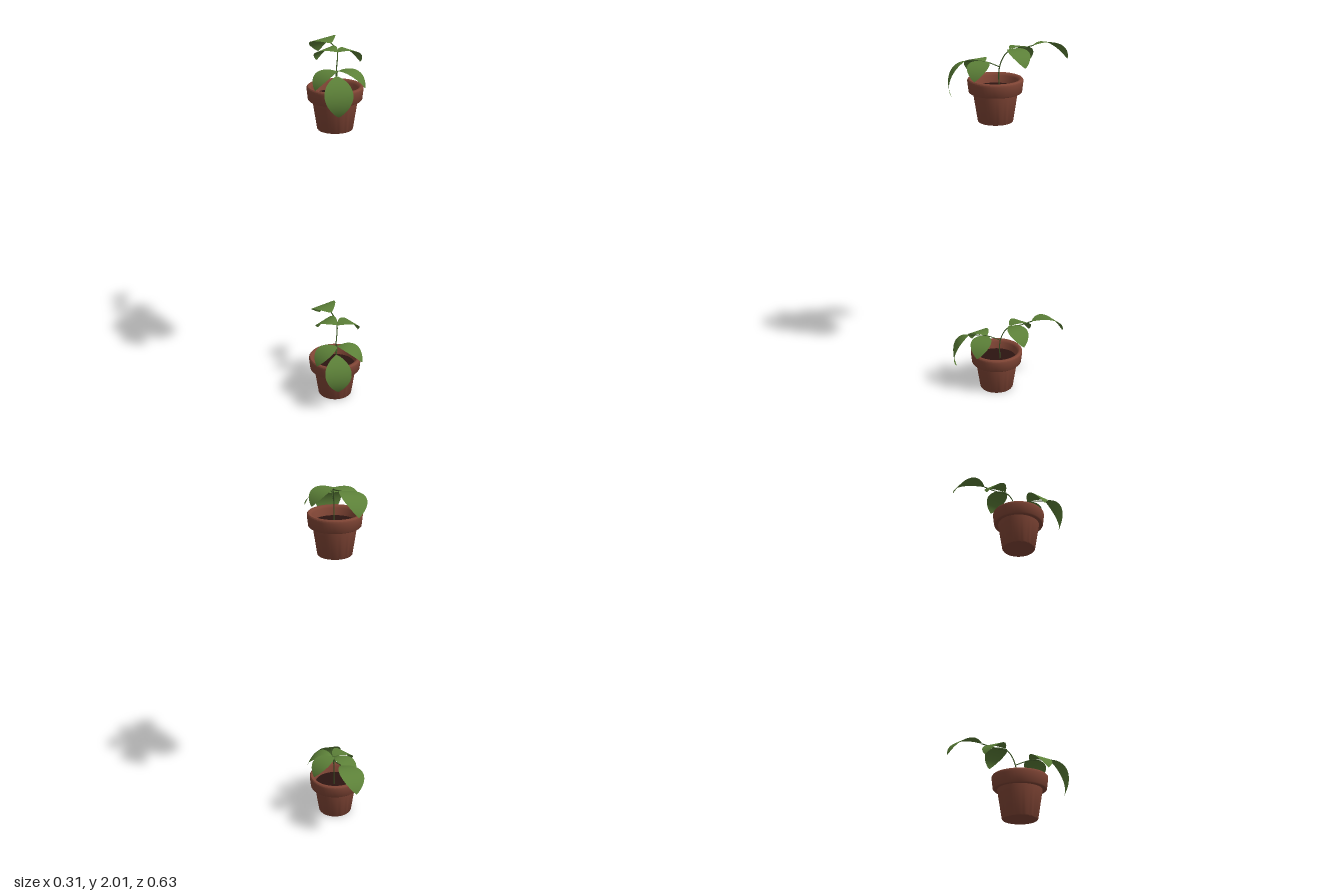
import * as THREE from 'three';
import { toCreasedNormals } from 'three/addons/utils/BufferGeometryUtils.js';

const potMat = new THREE.MeshStandardMaterial({ color: 0x804535, side: THREE.DoubleSide });
const soilMat = new THREE.MeshStandardMaterial({ color: 0x2c1411 });
const stemMat = new THREE.MeshStandardMaterial({ color: 0x3f5a28 });
const leafMat = new THREE.MeshStandardMaterial({ color: 0x5c8038, side: THREE.DoubleSide });

const LEAF_LENGTH = 0.237, LEAF_WIDTH = 0.146, LEAF_BEND = 1.745;

function add(parent, name, geometry, material) {
  const mesh = new THREE.Mesh(geometry, material);
  mesh.name = name;
  parent.add(mesh);
  return mesh;
}

// Ovate blade growing along +z and bending down along a circular arc
function leafGeometry() {
  const geo = new THREE.PlaneGeometry(1, 1, 8, 24);
  const p = geo.attributes.position;
  const R = LEAF_LENGTH / LEAF_BEND;
  for (let i = 0; i < p.count; i++) {
    const t = p.getY(i) + 0.5;
    const a = t * LEAF_BEND;
    const w = LEAF_WIDTH * Math.pow(Math.max(0, Math.sin(Math.PI * t)), 0.85);
    p.setXYZ(i, -p.getX(i) * w, -R * (1 - Math.cos(a)), R * Math.sin(a));
  }
  geo.computeVertexNormals();
  return geo;
}

function stem(parent, name, radius, points) {
  const curve = new THREE.CatmullRomCurve3(points.map((q) => new THREE.Vector3(...q)));
  add(parent, name, new THREE.TubeGeometry(curve, 24, radius, 8), stemMat);
}

function createPlant() {
  const plant = new THREE.Group();

  // Terracotta pot with overhanging rounded rim and hollow inside
  const profile = [
    [0, 0], [0.09, 0], [0.094, 0.005], [0.118, 0.158], [0.136, 0.158], [0.141, 0.163],
    [0.147, 0.215], [0.147, 0.226], [0.142, 0.232], [0.134, 0.233], [0.126, 0.229],
    [0.12, 0.218], [0.112, 0.165],
  ].map(([x, y]) => new THREE.Vector2(x, y));
  const pot = add(plant, 'pot', toCreasedNormals(new THREE.LatheGeometry(profile, 48), 0.7), potMat);
  pot.position.set(-0.011, 0, 0.063);

  const soil = add(plant, 'soil', new THREE.CircleGeometry(0.116, 48), soilMat);
  soil.rotation.x = -Math.PI / 2;
  soil.position.set(-0.011, 0.18, 0.063);

  // Main stem leaning back, and a side branch reaching forward
  stem(plant, 'mainStem', 0.003, [
    [0, 0.175, 0.045], [0, 0.295, 0.042], [0.015, 0.375, 0.003],
    [0.023, 0.39, -0.06], [0.01, 0.405, -0.137],
  ]);
  stem(plant, 'frontBranch', 0.0025, [
    [0, 0.295, 0.042], [-0.01, 0.322, 0.115], [-0.035, 0.325, 0.217],
  ]);

  // Leaves: name, base point, heading (x, z), upward pitch, roll, scale
  const blade = leafGeometry();
  const leaves = [
    ['backLeaf', [0.01, 0.404, -0.135], [-0.31, -0.95], 0.44, -0.17, 1],
    ['upperRightLeaf', [0.016, 0.389, -0.008], [-0.62, -0.78], 0.44, -0.1, 0.8],
    ['upperLeftLeaf', [0.016, 0.388, -0.006], [0.9, -0.42], 0.42, 0, 0.8],
    ['lowerRightLeaf', [-0.01, 0.322, 0.117], [-0.88, 0.47], 0.4, 0, 0.8],
    ['lowerLeftLeaf', [-0.01, 0.322, 0.117], [0.86, 0.5], 0.4, 0, 0.8],
    ['frontLeaf', [-0.035, 0.325, 0.215], [-0.07, 1], -0.33, 0, 1],
  ];
  for (const [name, base, [dx, dz], pitch, roll, scale] of leaves) {
    const leaf = add(plant, name, blade, leafMat);
    leaf.position.set(...base);
    leaf.rotation.set(-pitch, Math.atan2(dx, dz), roll, 'YXZ');
    leaf.scale.setScalar(scale);
  }
  return plant;
}

export function createModel() {
  const model = new THREE.Group();
  // Two identical potted plants, one high above the other
  [['lowerPlant', 0], ['upperPlant', 1.587]].forEach(([name, y]) => {
    const plant = createPlant();
    plant.name = name;
    plant.position.y = y;
    model.add(plant);
  });
  return model;
}
